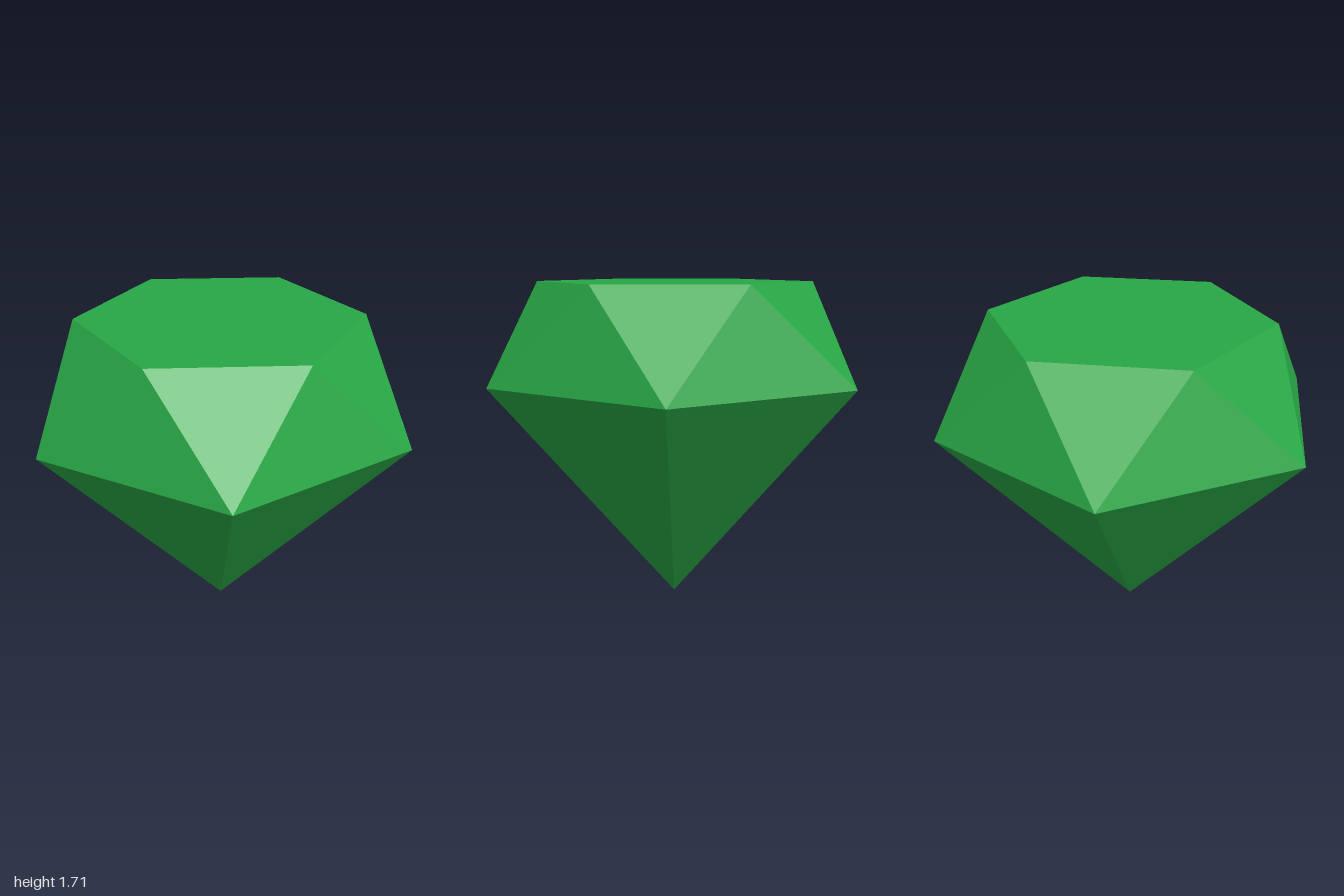
import * as THREE from 'three';

const SIDES = 6;

// Corner i of a hexagonal ring, turned by a fraction of one side
function corner(i, radius, y, turn = 0) {
  const a = ((i + turn) / SIDES) * Math.PI * 2;
  return [radius * Math.cos(a), y, radius * Math.sin(a)];
}

function facetMesh(name, triangles, material) {
  const geometry = new THREE.BufferGeometry();
  geometry.setAttribute('position', new THREE.Float32BufferAttribute(triangles.flat(2), 3));
  geometry.computeVertexNormals(); // unshared corners give flat facets
  const mesh = new THREE.Mesh(geometry, material);
  mesh.name = name;
  return mesh;
}

export function createModel() {
  const group = new THREE.Group();
  group.name = 'gem';
  const gemGreen = new THREE.MeshStandardMaterial({ color: 0x28a745, flatShading: true });
  gemGreen.name = 'gemGreen';

  const girdle = (i) => corner(i, 1, 1.222);
  const rim = (i) => corner(i, 0.71, 1.706, 0.5);
  const tip = [0, 0, 0];
  const centre = [0, 1.706, 0];

  const table = [], crown = [], pavilion = [];
  for (let i = 0; i < SIDES; i++) {
    table.push([centre, rim(i + 1), rim(i)]);
    // alternating upright and inverted triangles
    crown.push([girdle(i), rim(i), girdle(i + 1)]);
    crown.push([rim(i), rim(i + 1), girdle(i + 1)]);
    pavilion.push([girdle(i), girdle(i + 1), tip]);
  }

  group.add(
    facetMesh('table', table, gemGreen),
    facetMesh('crown', crown, gemGreen),
    facetMesh('pavilion', pavilion, gemGreen),
  );
  return group;
}
